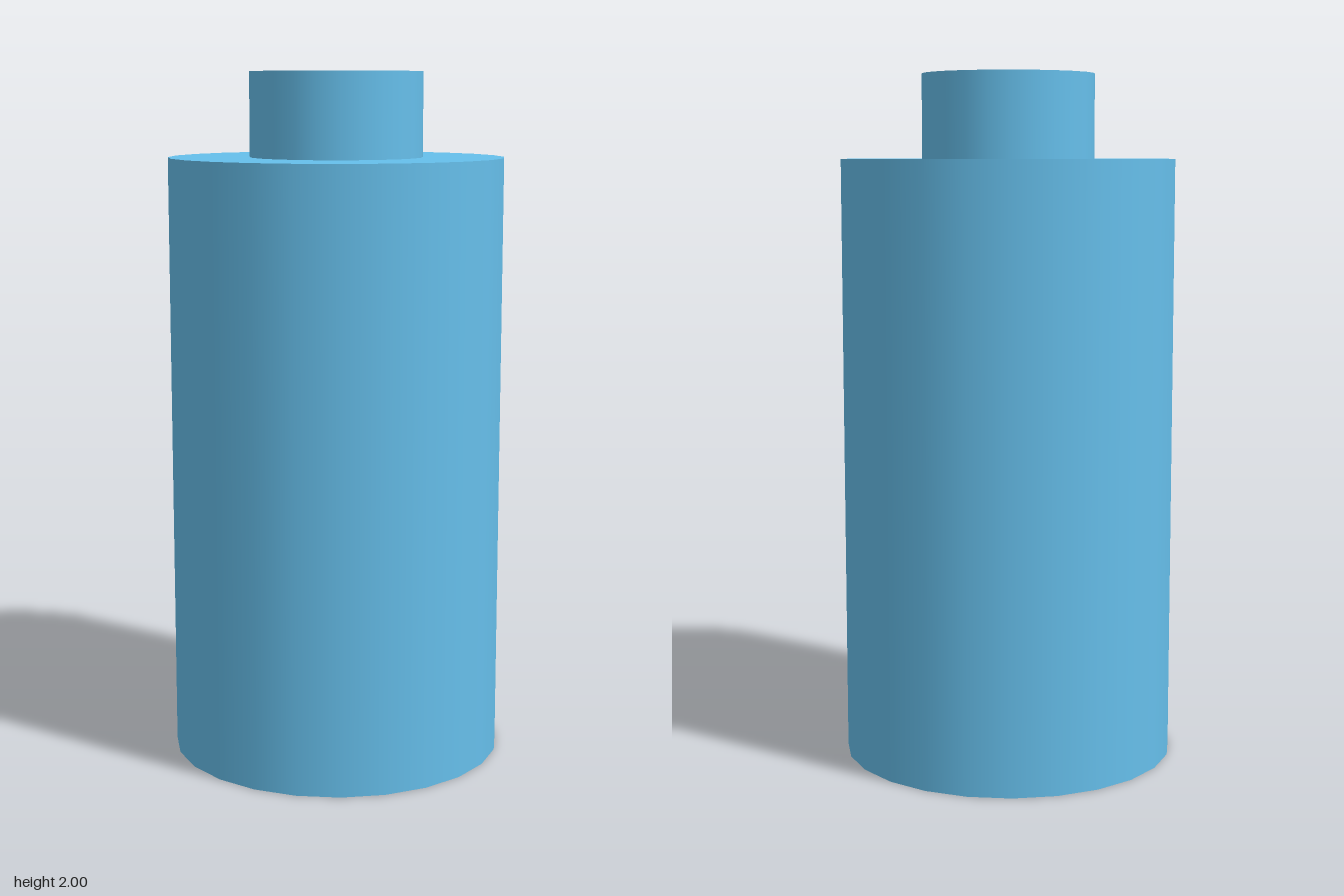
import * as THREE from 'three';

const SIDES = 24;

export function createModel() {
  const model = new THREE.Group();
  model.name = 'cylinderWithCap';
  const blue = new THREE.MeshStandardMaterial({ color: 0x66bfeb });

  // Upright closed cylinder standing on the height y0
  const addCylinder = (name, radius, y0, y1) => {
    const geometry = new THREE.CylinderGeometry(radius, radius, y1 - y0, SIDES);
    const mesh = new THREE.Mesh(geometry, blue);
    mesh.name = name;
    mesh.position.y = (y0 + y1) / 2;
    model.add(mesh);
  };

  addCylinder('body', 0.486, 0, 1.757); // wide main drum
  addCylinder('cap', 0.25, 1.757, 2); // narrow stub on top

  return model;
}
